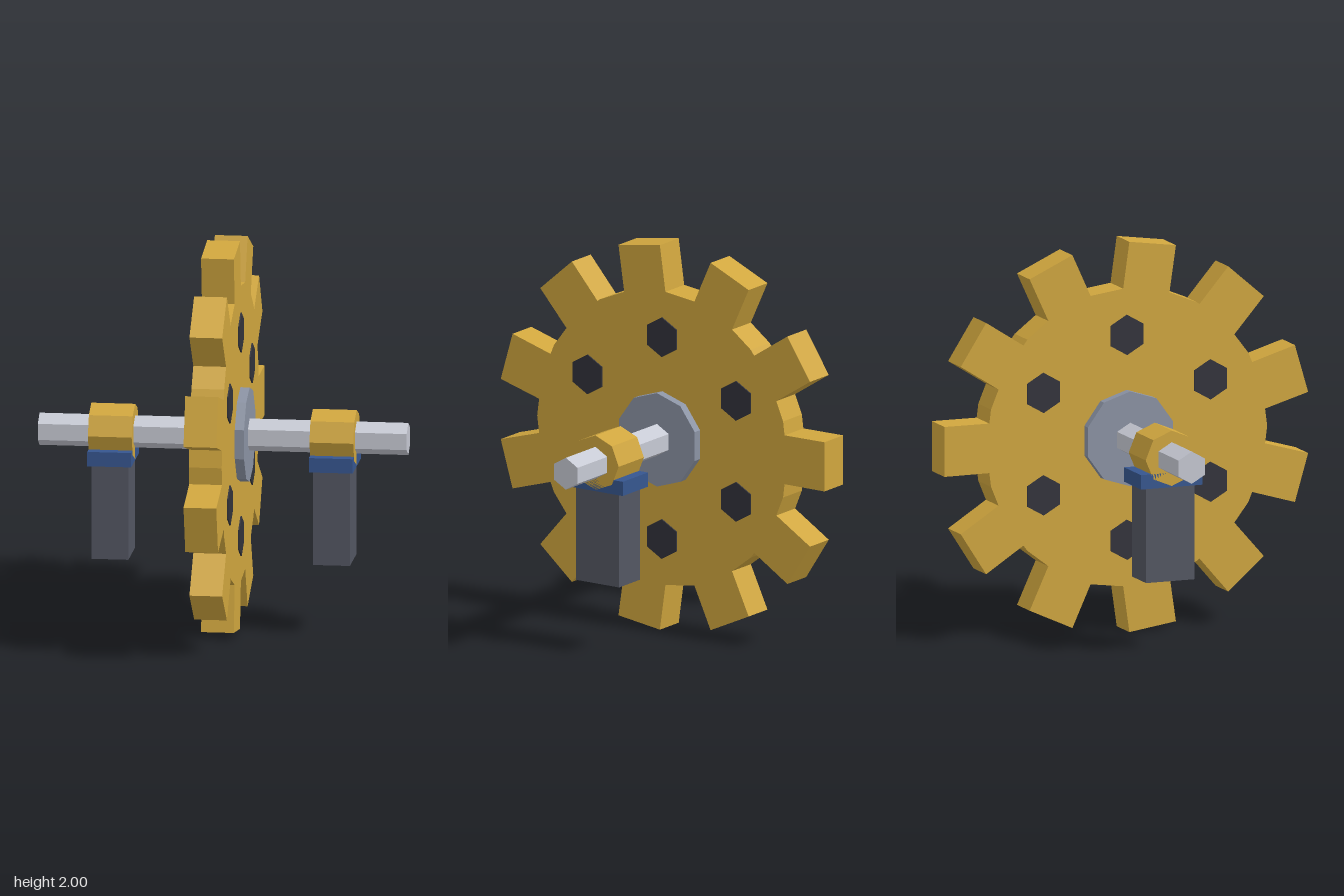
import * as THREE from 'three';

const AXLE_Y = 1;

const material = (name, color) => {
  const m = new THREE.MeshStandardMaterial({ color });
  m.name = name;
  return m;
};

// Faceted normals for the low-poly look
function faceted(geometry) {
  const g = geometry.index ? geometry.toNonIndexed() : geometry;
  g.computeVertexNormals();
  return g;
}

// Prism lying along x, with one corner pointing straight up
function prism(radius, length, sides) {
  const g = new THREE.CylinderGeometry(radius, radius, length, sides, 1, false, Math.PI / 2);
  return g.rotateZ(Math.PI / 2);
}

// Outline of a 24-sided disc carrying straight rectangular teeth
function gearShape(teeth, discRadius, tipRadius, halfWidth) {
  const sides = 24;
  const step = (Math.PI * 2) / sides;
  const pitch = (Math.PI * 2) / teeth;
  const rootAngle = Math.asin(halfWidth / discRadius);
  const points = [];
  const onDisc = (t) => {
    const local = t - Math.floor(t / step) * step - step / 2;
    const r = (discRadius * Math.cos(step / 2)) / Math.cos(local);
    points.push(new THREE.Vector2(r * Math.cos(t), r * Math.sin(t)));
  };
  for (let i = 0; i < teeth; i++) {
    const a = i * pitch;
    const centre = new THREE.Vector2();
    onDisc(a - rootAngle);
    for (const s of [-1, 1]) {
      points.push(new THREE.Vector2(tipRadius, s * halfWidth).rotateAround(centre, a));
    }
    onDisc(a + rootAngle);
    // Disc corners that fall in the gap before the next tooth
    for (let k = 0; k < sides; k++) {
      const t = k * step;
      if (t > a + rootAngle + 0.01 && t < a + pitch - rootAngle - 0.01) onDisc(t);
    }
  }
  return new THREE.Shape(points);
}

export function createModel() {
  const gold = material('gold', 0xd0a63e);
  const steel = material('light steel', 0xc6c9d3);
  const hubGrey = material('hub grey', 0x8b93a4);
  const legGrey = material('leg grey', 0x535662);
  const boltBlack = material('bolt black', 0x31323b);
  const blue = material('blue', 0x36568f);

  const model = new THREE.Group();
  model.name = 'gearOnStand';
  const add = (name, geometry, mat, x = 0, y = AXLE_Y, z = 0, parent = model) => {
    const mesh = new THREE.Mesh(faceted(geometry), mat);
    mesh.name = name;
    mesh.position.set(x, y, z);
    parent.add(mesh);
  };

  // Gear wheel, with one tooth pointing to the back
  const gearWidth = 0.166;
  const gear = new THREE.ExtrudeGeometry(gearShape(11, 0.765, 0.992, 0.128), {
    depth: gearWidth, bevelEnabled: false,
  });
  gear.translate(0, 0, -gearWidth / 2).rotateY(Math.PI / 2);
  add('gearWheel', gear, gold);

  // Hub and axle
  add('hub', prism(0.243, 0.26, 10), hubGrey);
  add('axle', prism(0.083, 1.868, 6), steel);

  // Ring of bolts through the wheel
  for (let i = 0; i < 6; i++) {
    const a = Math.PI / 2 + (i * Math.PI) / 3;
    add('bolt', prism(0.103, 0.18, 6), boltBlack, 0,
      AXLE_Y + 0.525 * Math.sin(a), 0.525 * Math.cos(a));
  }

  // Bearing, cap plate and leg on each side
  for (const side of [-1, 1]) {
    const support = new THREE.Group();
    support.name = side > 0 ? 'leftSupport' : 'rightSupport';
    const x = side * 0.561;
    add('bearing', prism(0.142, 0.222, 8), gold, x, AXLE_Y, 0, support);
    add('capPlate', new THREE.BoxGeometry(0.222, 0.074, 0.334), blue, x, 0.889, 0, support);
    add('leg', new THREE.BoxGeometry(0.186, 0.49, 0.264), legGrey, x, 0.612, 0, support);
    model.add(support);
  }
  return model;
}
